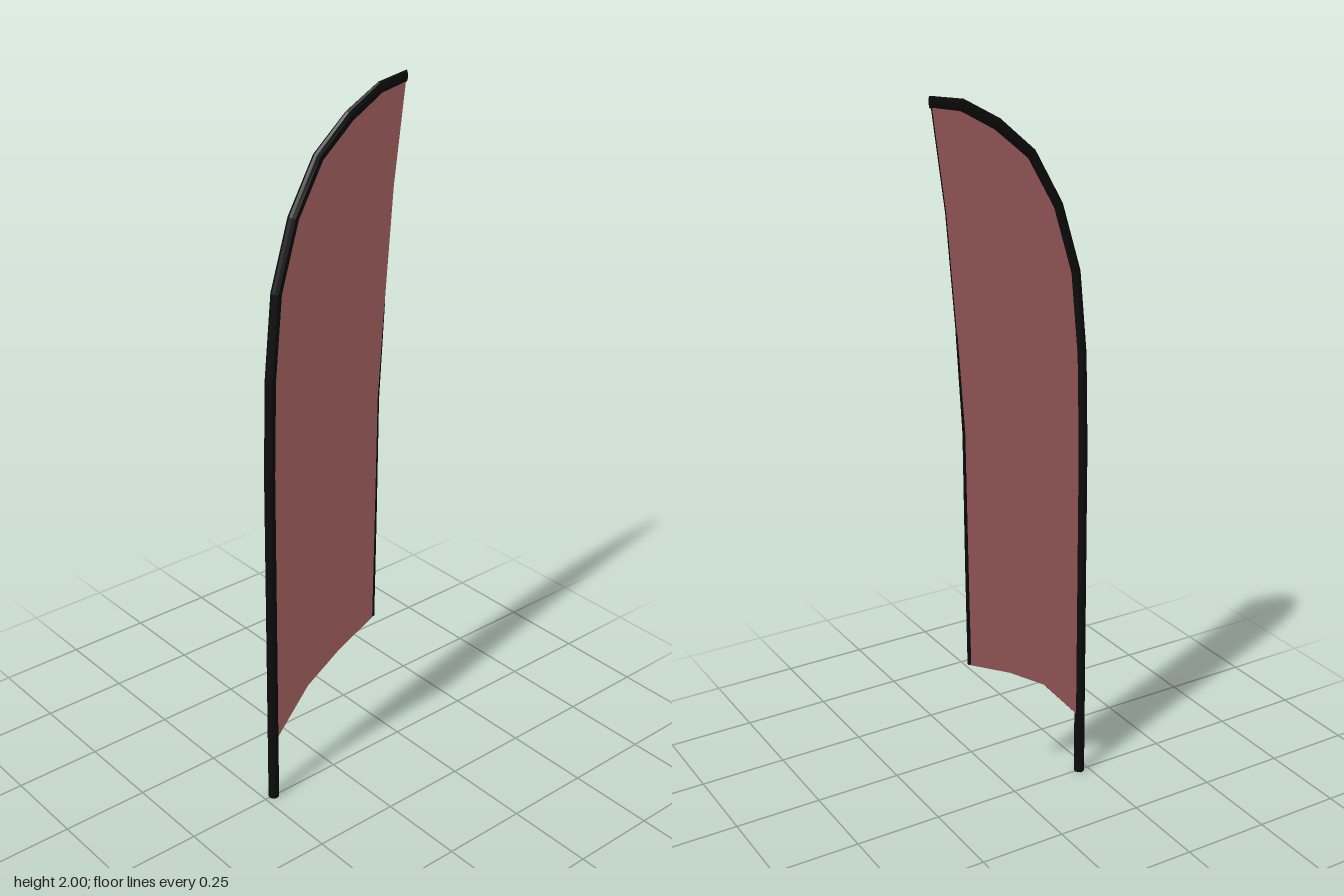
import * as THREE from 'three';

// Pole centre line: x, y, half width, half depth
const POLE = [
  [-0.221, 0, 0.015, 0.015], [-0.214, 1.02, 0.014, 0.015], [-0.206, 1.285, 0.014, 0.015],
  [-0.183, 1.513, 0.014, 0.015], [-0.127, 1.694, 0.014, 0.015], [-0.048, 1.831, 0.015, 0.013],
  [0.05, 1.914, 0.016, 0.011], [0.148, 1.968, 0.016, 0.008], [0.235, 1.983, 0.015, 0.005],
];
const TRAIL = [[0.148, 0.455], [0.152, 0.76], [0.155, 1.13], [0.171, 1.4], [0.196, 1.71], [0.231, 1.975]];
const HEM = [[-0.21, 0.19], [-0.095, 0.322], [0.016, 0.392], [0.148, 0.455]];

// Sweep an elliptical section along the bent pole, with closed ends
function poleGeometry(sides) {
  const pos = [], idx = [], last = POLE.length - 1;
  POLE.forEach(([x, y, w, d], i) => {
    const a = POLE[Math.max(i - 1, 0)], b = POLE[Math.min(i + 1, last)];
    const t = new THREE.Vector2(b[0] - a[0], b[1] - a[1]).normalize();
    if (i === 0) t.set(0, 1);
    if (i === last) t.set(1, 0);
    for (let j = 0; j < sides; j++) {
      const u = (j / sides) * Math.PI * 2, c = Math.cos(u) * w;
      pos.push(x + t.y * c, y - t.x * c, -Math.sin(u) * d);
      if (i < last) {
        const p = i * sides + j, q = i * sides + (j + 1) % sides;
        idx.push(p, q, q + sides, p, q + sides, p + sides);
      }
    }
  });
  for (let j = 1; j < sides - 1; j++) {
    const e = last * sides;
    idx.push(0, j + 1, j, e, e + j, e + j + 1);
  }
  const g = new THREE.BufferGeometry();
  g.setAttribute('position', new THREE.Float32BufferAttribute(pos, 3));
  g.setIndex(idx);
  const flat = g.toNonIndexed();
  flat.computeVertexNormals();
  return flat;
}

// Thin slab from an outline, centred on z = 0
function slab(points, depth) {
  const shape = new THREE.Shape(points.map(([x, y]) => new THREE.Vector2(x, y)));
  const g = new THREE.ExtrudeGeometry(shape, { depth, bevelEnabled: false });
  return g.translate(0, 0, -depth / 2);
}

export function createModel() {
  const group = new THREE.Group();
  const black = new THREE.MeshStandardMaterial({ color: 0x0c0c0c });
  black.name = 'black';
  const red = new THREE.MeshStandardMaterial({ color: 0xb06767 });
  red.name = 'faded red';
  const add = (name, geometry, material) => {
    const mesh = new THREE.Mesh(geometry, material);
    mesh.name = name;
    group.add(mesh);
  };

  add('pole', poleGeometry(10), black);

  // Cloth: red faces with a black rim, its leading edge tucked into the pole
  const lead = POLE.slice(1).reverse().map(([x, y]) => [x, y]);
  lead[0] = [0.231, 1.983];
  add('sail', slab([...HEM, ...TRAIL.slice(1), ...lead, [-0.218, 0.19]], 0.006), [red, black]);

  // Narrow binding along the lower part of the trailing edge
  const edge = TRAIL.slice(0, 4);
  const inner = edge.map(([x, y], i) => [x - [0.007, 0.006, 0.004, 0.001][i], y]).reverse();
  add('trailingBinding', slab([...edge, ...inner], 0.008), black);

  return group;
}
